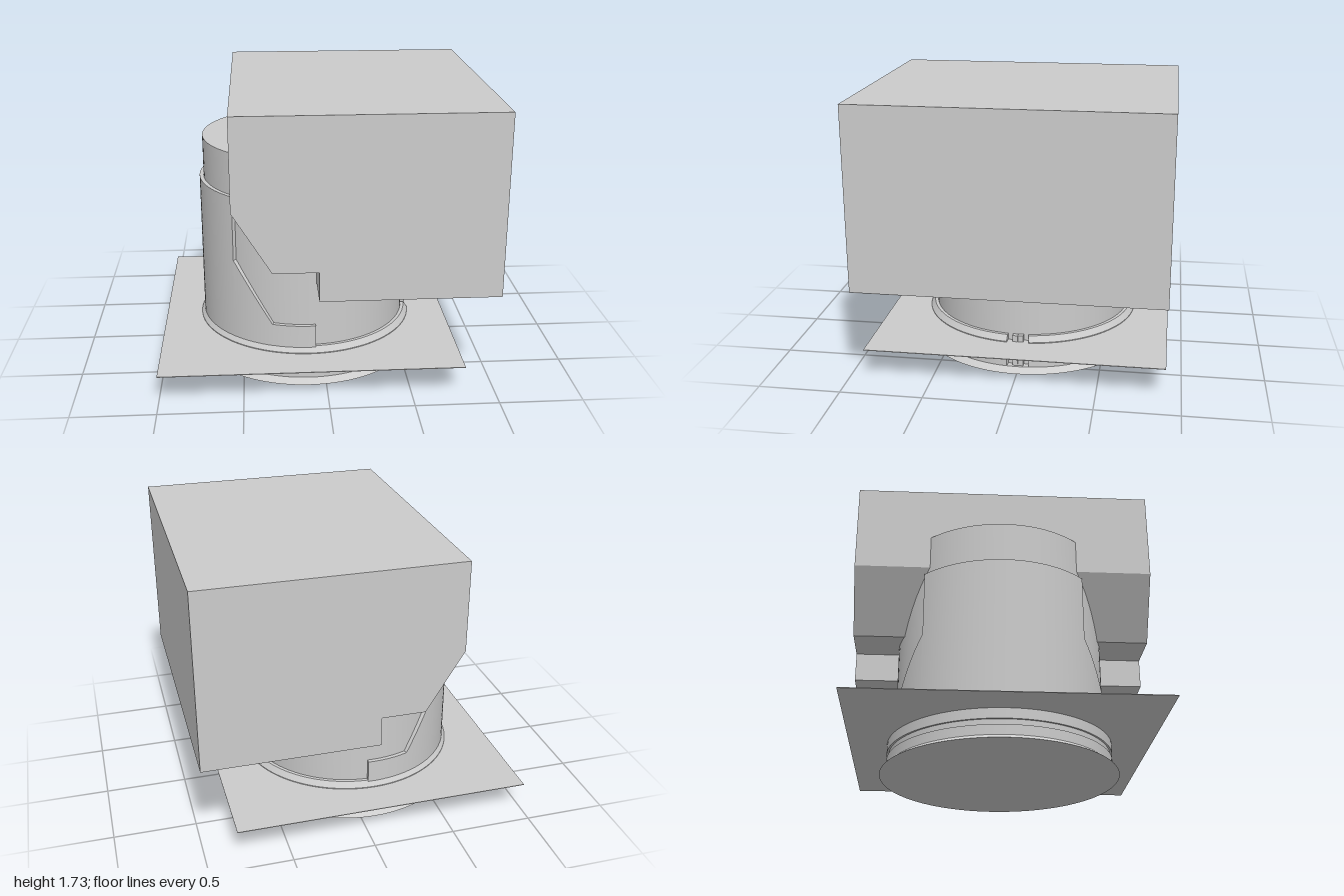
import * as THREE from 'three';
import { toCreasedNormals } from 'three/addons/utils/BufferGeometryUtils.js';

const AXIS_X = -0.095; // pipe axis
const PIPE_R = 0.635;

// Sweeps closed [radius, y] sections around the y axis; steps = [{ angle, section }].
function sweepArc(steps) {
  const pos = [], index = [];
  const n = steps[0].section.length;
  for (const { angle, section } of steps) {
    for (const [r, y] of section) pos.push(r * Math.sin(angle), y, r * Math.cos(angle));
  }
  for (let i = 0; i < steps.length - 1; i++) {
    for (let j = 0; j < n; j++) {
      const k = (j + 1) % n;
      const a = i * n + j, b = a + n, c = (i + 1) * n + k, d = i * n + k;
      index.push(a, b, c, a, c, d);
    }
  }
  const last = (steps.length - 1) * n;
  for (let j = 1; j < n - 1; j++) {
    index.push(0, j, j + 1, last, last + j + 1, last + j);
  }
  const geo = new THREE.BufferGeometry();
  geo.setAttribute('position', new THREE.Float32BufferAttribute(pos, 3));
  geo.setIndex(index);
  return toCreasedNormals(geo, 0.45);
}

const lathe = (points, segments = 96) => toCreasedNormals(
  new THREE.LatheGeometry(points.map(([r, y]) => new THREE.Vector2(r, y)), segments), 0.45);

export function createModel() {
  const model = new THREE.Group();
  const grey = new THREE.MeshStandardMaterial({ color: 0xcccccc, side: THREE.DoubleSide });
  const add = (name, geo, x = 0, y = 0, z = 0) => {
    const mesh = new THREE.Mesh(geo, grey);
    mesh.name = name;
    mesh.position.set(x, y, z);
    model.add(mesh);
    return mesh;
  };

  // Stepped housing block, one profile extruded across the depth
  const outline = [[-0.545, 1.73], [-0.545, 1.185], [-0.32, 0.82], [-0.055, 0.82],
    [-0.055, 0.64], [1, 0.64], [1, 1.73]].map(([x, y]) => new THREE.Vector2(x, y));
  add('housing', new THREE.ExtrudeGeometry(new THREE.Shape(outline),
    { depth: 1.81, bevelEnabled: false }), 0, 0, -0.905);

  // Closed vertical pipe
  add('pipe', lathe([[0, 0.02], [PIPE_R, 0.02], [PIPE_R, 1.395], [0, 1.395]]), AXIS_X);

  // Flared foot
  add('foot', lathe([[0, 0], [0.72, 0], [0.68, 0.03], [0, 0.03]]), AXIS_X);

  // Thin mounting plate
  add('mountingPlate', new THREE.BoxGeometry(1.81, 0.004, 1.81), AXIS_X, 0.188, 0);

  // Clamp ring: grooved band, open at the +x side, groove stopping short of the gap
  const ringSection = (groove) => [[0.63, 0.03], [0.68, 0.03], [0.68, 0.09],
    [0.68 - groove, 0.09], [0.68 - groove, 0.125], [0.68, 0.125], [0.68, 0.195],
    [0.655, 0.23], [0.63, 0.23]];
  const gap = 0.1, grooveStart = 0.12, ringSteps = [];
  const ringStep = (t, groove) => ringSteps.push(
    { angle: Math.PI / 2 + t, section: ringSection(groove) });
  ringStep(gap, 0);
  ringStep(grooveStart, 0);
  for (let i = 0; i <= 96; i++) {
    ringStep(THREE.MathUtils.lerp(grooveStart, 2 * Math.PI - grooveStart, i / 96), 0.012);
  }
  ringStep(2 * Math.PI - grooveStart, 0);
  ringStep(2 * Math.PI - gap, 0);
  add('clampRing', sweepArc(ringSteps), AXIS_X);

  // Pair of clips inside the ring gap
  for (const side of [-1, 1]) {
    add('ringClip', new THREE.BoxGeometry(0.035, 0.2, 0.032), AXIS_X + 0.646, 0.13, side * 0.017);
  }

  // Shell around the back of the pipe, its upper edge stepping down towards both ends
  const R = 0.66, end = 1.624, low = 1.222, high = 0.814;
  const shellTop = (t) => {
    const x = -R * Math.cos(t);
    const x0 = -R * Math.cos(high), x1 = -R * Math.cos(low);
    return THREE.MathUtils.mapLinear(THREE.MathUtils.clamp(x, x0, x1), x0, x1, 0.73, 0.365);
  };
  const shellSteps = [];
  const shellRun = (from, to, count, top) => {
    for (let i = 0; i <= count; i++) {
      const t = THREE.MathUtils.lerp(from, to, i / count), h = top(t);
      shellSteps.push({ angle: 1.5 * Math.PI + t,
        section: [[PIPE_R, 0.2], [R, 0.2], [R, h], [PIPE_R, h]] });
    }
  };
  shellRun(-end, -low, 6, shellTop);
  shellRun(-low, -high, 8, shellTop);
  shellRun(-high, high, 28, () => 1.135);
  shellRun(high, low, 8, shellTop);
  shellRun(low, end, 6, shellTop);
  add('backShell', sweepArc(shellSteps), AXIS_X);

  return model;
}
